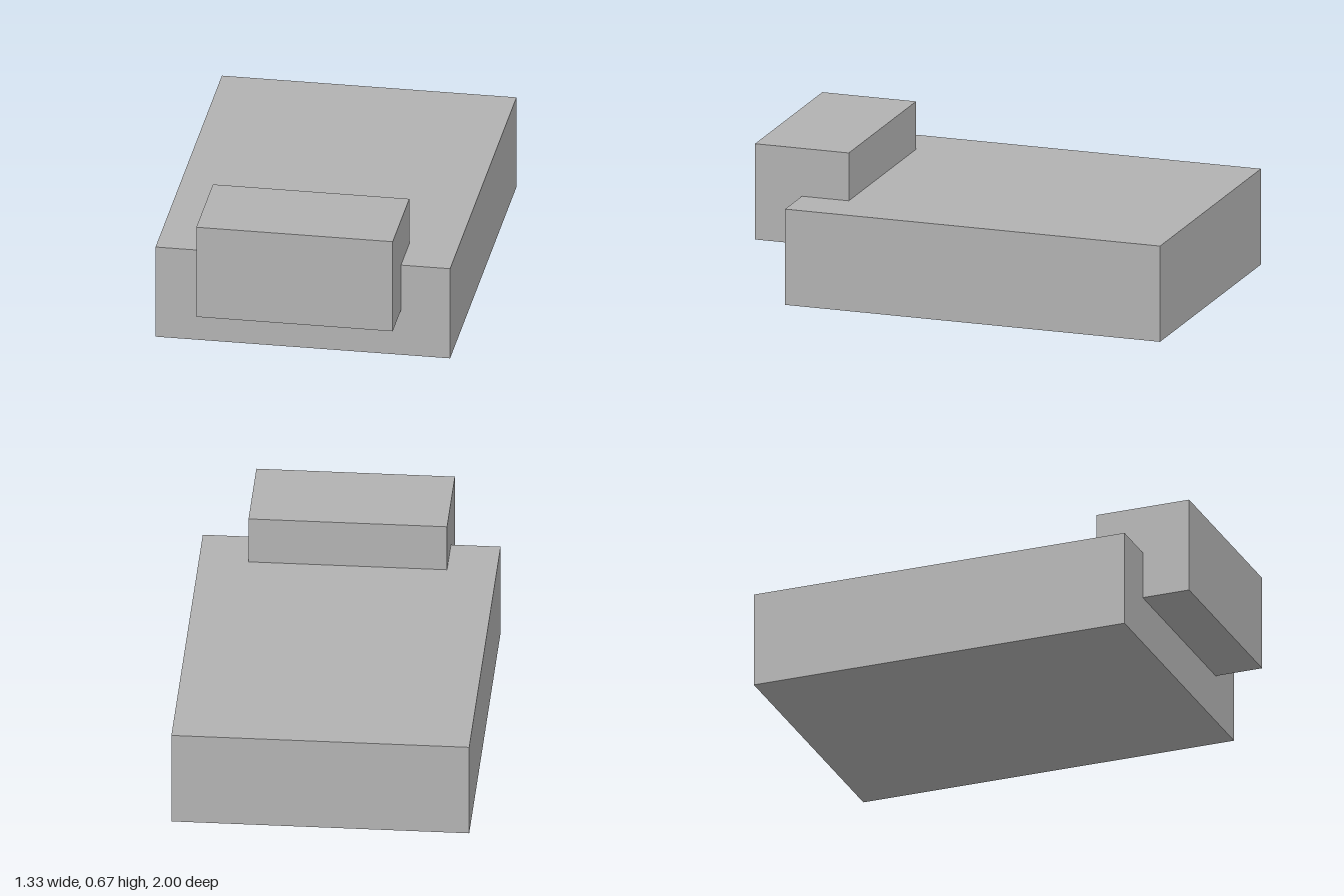
import * as THREE from 'three';

export function createModel() {
  const group = new THREE.Group();
  const grey = new THREE.MeshStandardMaterial({ color: 0xb2b2b2 });
  grey.name = 'grey';

  // Adds a named block from its size and centre
  const block = (name, size, centre) => {
    const mesh = new THREE.Mesh(new THREE.BoxGeometry(...size), grey);
    mesh.name = name;
    mesh.position.set(...centre);
    group.add(mesh);
  };

  const u = 2 / 9; // the design is laid out on ninths of the full length

  // Long slab standing on the ground
  block('body', [6 * u, 2 * u, 8 * u], [0, u, -0.5 * u]);
  // Smaller block overlapping the upper front edge
  block('head', [4 * u, 2 * u, 2 * u], [0, 2 * u, 3.5 * u]);

  return group;
}
